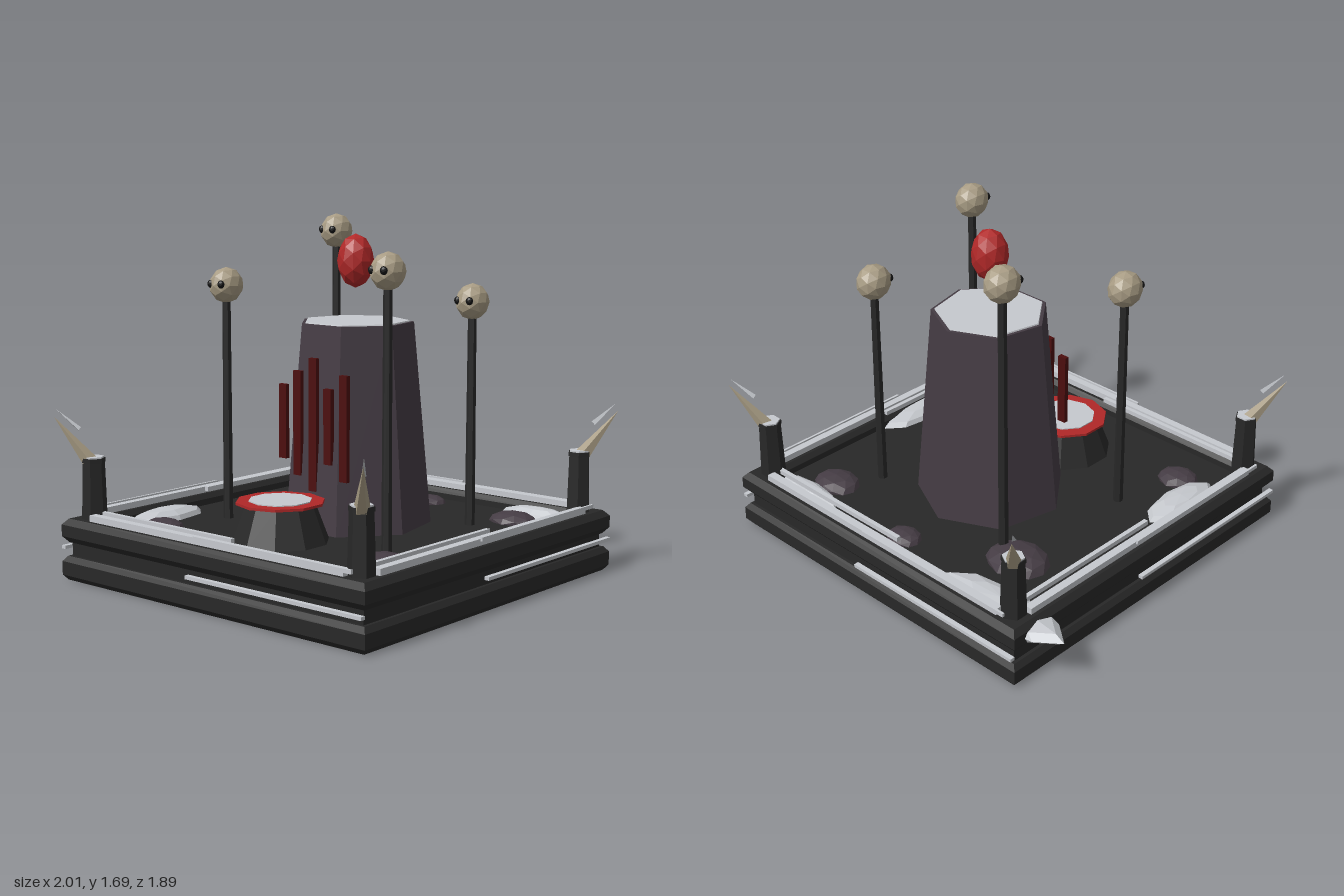
import * as THREE from 'three';

const flat = (name, color) => {
  const m = new THREE.MeshStandardMaterial({ color, flatShading: true });
  m.name = name;
  return m;
};

export function createModel() {
  const black = flat('black stone', 0x282828);
  const mauve = flat('mauve rock', 0x453c44);
  const snow = flat('pale frost', 0xc6c9ce);
  const red = flat('red', 0xb02828);
  const darkRed = flat('dark red', 0x4c0e0e);
  const bone = flat('bone', 0xa89c84);
  const eyeBlack = flat('eye black', 0x141414);

  const model = new THREE.Group();
  model.name = 'shrine';
  const CX = 0.06; // platform centre on x
  const FLOOR = 0.24;

  const add = (parent, name, geo, mat, x = 0, y = 0, z = 0) => {
    const mesh = new THREE.Mesh(geo, mat);
    mesh.name = name;
    mesh.position.set(x, y, z);
    parent.add(mesh);
    return mesh;
  };
  const blob = (parent, name, mat, x, y, z, rx, ry, rz, detail = 1) => {
    const mesh = add(parent, name, new THREE.IcosahedronGeometry(1, detail), mat, x, y, z);
    mesh.scale.set(rx, ry, rz);
    return mesh;
  };
  // square solid or ring from a [half width, height] profile
  const square = (name, profile) => {
    const pts = profile.map(([r, y]) => new THREE.Vector2(r * Math.SQRT2, y));
    const geo = new THREE.LatheGeometry(pts, 4).rotateY(Math.PI / 4);
    return add(model, name, geo, black, CX);
  };
  // cone reaching from one point to another
  const coneBetween = (parent, name, mat, a, b, r, sides) => {
    const dir = b.clone().sub(a);
    const mesh = add(parent, name, new THREE.ConeGeometry(r, dir.length(), sides), mat);
    mesh.position.copy(a).addScaledVector(dir, 0.5);
    mesh.quaternion.setFromUnitVectors(new THREE.Vector3(0, 1, 0), dir.normalize());
  };

  // platform
  square('baseSlab', [[0, 0], [0.9, 0], [0.92, 0.025], [0.92, 0.09], [0.9, 0.115], [0, 0.115]]);
  square('floor', [[0, 0.11], [0.885, 0.11], [0.885, FLOOR], [0, FLOOR]]);
  square('parapet', [[0.8, 0.18], [0.895, 0.18], [0.92, 0.21], [0.92, 0.265], [0.895, 0.293],
    [0.82, 0.293], [0.8, 0.27], [0.8, 0.18]]);

  // four identical sides: frost strips, corner post and spike
  for (let i = 0; i < 4; i++) {
    const side = new THREE.Group();
    side.name = 'side' + (i + 1);
    side.position.x = CX;
    side.rotation.y = i * Math.PI / 2;
    model.add(side);
    const strip = (name, x0, x1, y, z, h, d) =>
      add(side, name, new THREE.BoxGeometry(x1 - x0, h, d), snow, (x0 + x1) / 2, y, z);
    strip('topFrostStrip', -0.77, 0.77, 0.308, 0.857, 0.03, 0.04);
    strip('innerFrostStrip', -0.77, 0.08, 0.32, 0.803, 0.022, 0.022);
    strip('upperFrostStrip', -0.08, 0.82, 0.322, 0.882, 0.018, 0.012);
    strip('lowerFrostStrip', -0.09, 0.91, 0.155, 0.92, 0.016, 0.024);

    add(side, 'cornerPost', new THREE.CylinderGeometry(0.052, 0.064, 0.4, 6), black, 0.81, 0.375, 0.81);
    add(side, 'postCollar', new THREE.CylinderGeometry(0.056, 0.056, 0.02, 6), black, 0.81, 0.57, 0.81);
    add(side, 'postFrost', new THREE.CylinderGeometry(0.05, 0.05, 0.008, 6), snow, 0.81, 0.583, 0.81);
    coneBetween(side, 'cornerSpike', bone, new THREE.Vector3(0.82, 0.56, 0.82),
      new THREE.Vector3(0.93, 0.775, 0.945), 0.038, 5);
    coneBetween(side, 'spikeFrost', snow, new THREE.Vector3(0.855, 0.715, 0.855),
      new THREE.Vector3(0.925, 0.81, 0.935), 0.013, 3);
  }

  // central monolith with frosted top
  const heptagon = (name, rTop, rBottom, h, mat, y) => {
    add(model, name, new THREE.CylinderGeometry(rTop, rBottom, h, 7), mat, CX, y, -0.12).rotation.y = Math.PI;
  };
  heptagon('monolith', 0.274, 0.362, 0.98, mauve, 0.71);
  heptagon('monolithFrost', 0.255, 0.258, 0.008, snow, 1.202);

  // glowing bars on the front of the monolith
  const bars = [[-0.125, 0.35], [-0.035, 0.49], [0.06, 0.62], [0.15, 0.35], [0.245, 0.49]];
  for (const [x, h] of bars) {
    add(model, 'redBar', new THREE.BoxGeometry(0.045, h, 0.022), darkRed, x, 0.743, 0.18);
  }

  // floating orb
  blob(model, 'orb', red, CX, 1.485, -0.118, 0.088, 0.127, 0.088);

  // altar
  add(model, 'altar', new THREE.CylinderGeometry(0.16, 0.228, 0.18, 10), black, CX, 0.325, 0.41);
  add(model, 'altarRing', new THREE.CylinderGeometry(0.206, 0.206, 0.012, 10), red, CX, 0.42, 0.41);
  add(model, 'altarFrost', new THREE.CylinderGeometry(0.146, 0.146, 0.006, 10), snow, CX, 0.428, 0.41);

  // skulls on poles: x, height, z
  const skulls = [[-0.355, 1.6, -0.465], [-0.45, 1.365, 0.225], [0.57, 1.48, 0.275], [0.52, 1.3, -0.415]];
  for (const [x, y, z] of skulls) {
    const g = new THREE.Group();
    g.name = 'skullPole';
    g.position.set(x, 0, z);
    model.add(g);
    const h = y - 0.05 - 0.2;
    add(g, 'pole', new THREE.CylinderGeometry(0.02, 0.024, h, 6), black, 0, 0.2 + h / 2, 0);
    blob(g, 'skull', bone, 0, y, 0, 0.076, 0.086, 0.088);
    for (const s of [-1, 1]) blob(g, 'eye', eyeBlack, s * 0.033, y + 0.008, 0.07, 0.018, 0.02, 0.016);
  }

  // rocks: x, z, half width, half depth
  const rocks = [[-0.45, -0.47, 0.16, 0.135], [0.06, -0.7, 0.09, 0.078], [0.635, -0.61, 0.122, 0.102],
    [0.71, 0.455, 0.137, 0.117], [-0.54, 0.57, 0.103, 0.092]];
  for (const [x, z, rx, rz] of rocks) blob(model, 'rock', mauve, x, FLOOR, z, rx, rz * 0.48, rz);

  // snow drifts: x, z, half width, half depth
  const drifts = [[-0.635, -0.765, 0.37, 0.12], [0.67, -0.765, 0.21, 0.075],
    [0.85, 0.18, 0.1, 0.29], [-0.685, 0.41, 0.1, 0.235]];
  for (const [x, z, rx, rz] of drifts) {
    const geo = new THREE.SphereGeometry(1, 8, 6);
    add(model, 'snowDrift', geo, snow, x, 0.235, z).scale.set(rx, 0.055, rz);
  }
  return model;
}
